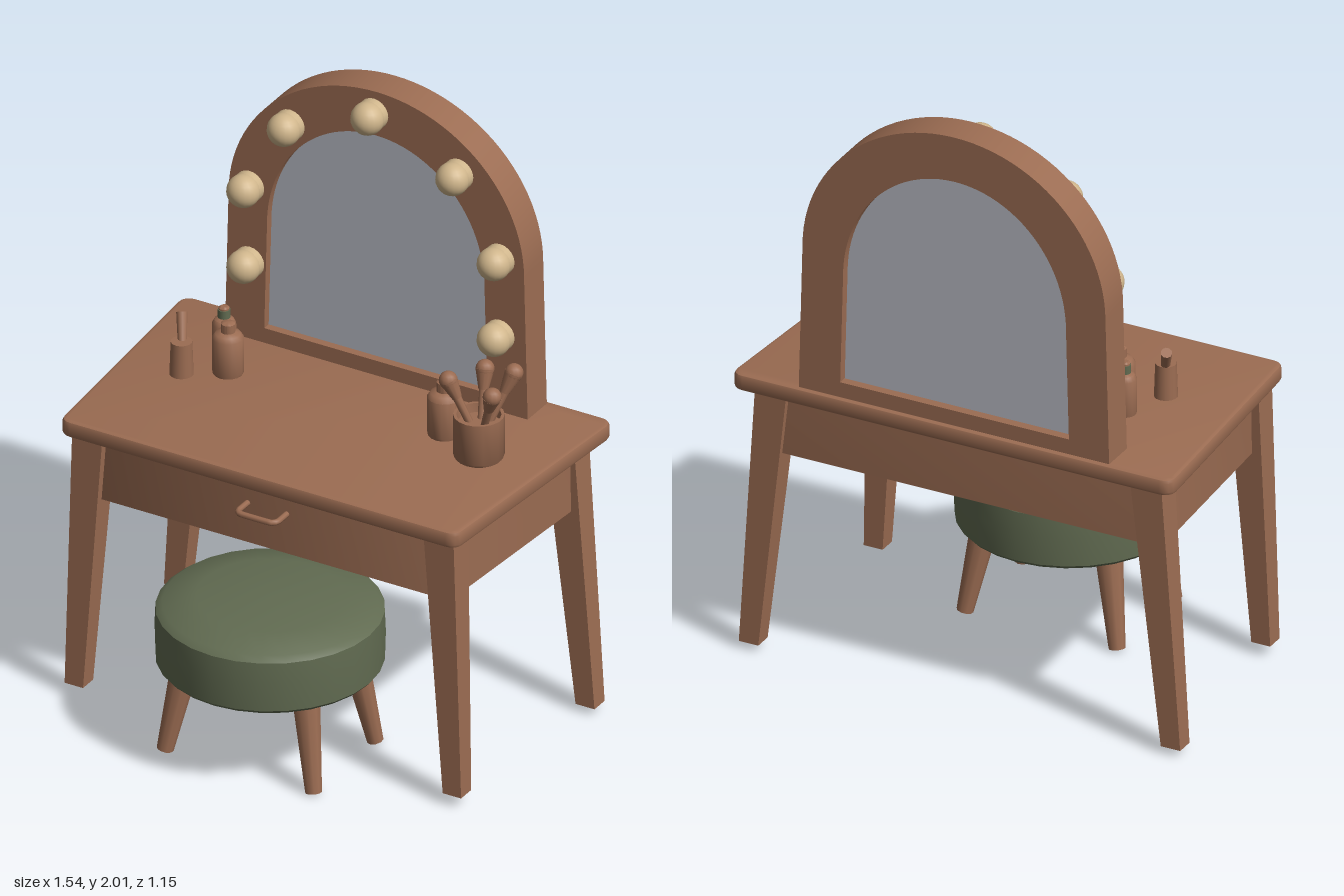
import * as THREE from 'three';
import { toCreasedNormals } from 'three/addons/utils/BufferGeometryUtils.js';

const material = (name, color) => Object.assign(new THREE.MeshStandardMaterial({ color }), { name });

export function createModel() {
  const wood = material('wood', 0x9b6c52);
  const cushion = material('cushion green', 0x616b51);
  const glass = material('mirror glass', 0xb9bcc5);
  const bulbCream = material('bulb cream', 0xd0b68c);
  const root = new THREE.Group();
  root.name = 'vanityTable';

  const add = (name, geometry, mat, x = 0, y = 0, z = 0, parent = root) => {
    const mesh = new THREE.Mesh(geometry, mat);
    mesh.name = name;
    mesh.position.set(x, y, z);
    parent.add(mesh);
    return mesh;
  };
  const lathe = (profile, sides) => toCreasedNormals(
    new THREE.LatheGeometry(profile.map(([r, y]) => new THREE.Vector2(r, y)), sides), 0.7);

  // Round bar between two points, with its own radius at each end
  const bar = (name, from, to, rFrom, rTo, mat, sides = 10, parent = root) => {
    const a = new THREE.Vector3(...from), b = new THREE.Vector3(...to);
    const dir = b.clone().sub(a);
    const mesh = add(name, new THREE.CylinderGeometry(rTo, rFrom, dir.length(), sides), mat, 0, 0, 0, parent);
    mesh.position.copy(a).lerp(b, 0.5);
    mesh.quaternion.setFromUnitVectors(new THREE.Vector3(0, 1, 0), dir.normalize());
    return mesh;
  };

  // Box whose top and bottom have their own centre [x, y, z] and size [w, d]
  const taperedBox = (top, topSize, bottom, bottomSize) => {
    const g = new THREE.BoxGeometry(1, 1, 1).toNonIndexed();
    const p = g.attributes.position;
    for (let i = 0; i < p.count; i++) {
      const [c, s] = p.getY(i) > 0 ? [top, topSize] : [bottom, bottomSize];
      p.setXYZ(i, c[0] + p.getX(i) * s[0], c[1], c[2] + p.getZ(i) * s[1]);
    }
    g.computeVertexNormals();
    return g;
  };

  // Flat slab, wider at the back, with rounded corners (z given as front, back)
  const slab = (frontX, backX, frontZ, backZ, y0, y1, r, bevel) => {
    const f = frontX - bevel, b = backX - bevel, s0 = -frontZ + bevel, s1 = -backZ - bevel;
    const s = new THREE.Shape();
    s.moveTo(-f + r, s0);
    s.lineTo(f - r, s0);
    s.quadraticCurveTo(f, s0, f, s0 + r);
    s.lineTo(b, s1 - r);
    s.quadraticCurveTo(b, s1, b - r, s1);
    s.lineTo(-b + r, s1);
    s.quadraticCurveTo(-b, s1, -b, s1 - r);
    s.lineTo(-f, s0 + r);
    s.quadraticCurveTo(-f, s0, -f + r, s0);
    const g = new THREE.ExtrudeGeometry(s, {
      depth: y1 - y0 - 2 * bevel, bevelEnabled: bevel > 0, bevelSize: bevel,
      bevelThickness: bevel, bevelSegments: 2, curveSegments: 4,
    });
    g.rotateX(-Math.PI / 2).translate(0, y0 + bevel, 0);
    return toCreasedNormals(g, 0.6);
  };

  // Table: top, solid drawer box, drawer handle and splayed legs
  add('tableTop', slab(0.715, 0.77, 0.295, -0.572, 0.933, 0.99, 0.03, 0.012), wood);
  add('drawerBox', slab(0.655, 0.7, 0.235, -0.5, 0.71, 0.94, 0.004, 0), wood);
  const handlePath = new THREE.CatmullRomCurve3([
    [-0.07, 0.23], [-0.07, 0.29], [-0.055, 0.307], [0.055, 0.307], [0.07, 0.29], [0.07, 0.23],
  ].map(([x, z]) => new THREE.Vector3(x, 0.85, z)), false, 'catmullrom', 0.2);
  add('drawerHandle', new THREE.TubeGeometry(handlePath, 24, 0.01, 8), wood);
  for (const s of [-1, 1]) {
    add('frontLeg', taperedBox([s * 0.63, 0.94, 0.216], [0.108, 0.09],
      [s * 0.678, 0.035, 0.23], [0.066, 0.062]), wood);
    add('backLeg', taperedBox([s * 0.655, 0.94, -0.475], [0.11, 0.09],
      [s * 0.738, 0.02, -0.48], [0.068, 0.062]), wood);
  }

  // Arched mirror frame and its glass
  const arch = (PathType, bottomX, sideX, y0, springY, topY, cx) => {
    const p = new PathType();
    p.moveTo(cx - bottomX, y0);
    p.lineTo(cx + bottomX, y0);
    p.lineTo(cx + sideX, springY);
    p.absellipse(cx, springY, sideX, topY - springY, 0, Math.PI, false, 0);
    p.lineTo(cx - bottomX, y0);
    return p;
  };
  const frameShape = arch(THREE.Shape, 0.543, 0.53, 0.985, 1.49, 2, -0.004);
  frameShape.holes.push(arch(THREE.Path, 0.4, 0.39, 1.042, 1.42, 1.845, -0.006));
  const frame = new THREE.ExtrudeGeometry(frameShape, { depth: 0.117, bevelEnabled: false, curveSegments: 24 });
  add('mirrorFrame', toCreasedNormals(frame, 0.6), wood, 0, 0, -0.555);
  const pane = new THREE.ExtrudeGeometry(arch(THREE.Shape, 0.405, 0.395, 1.035, 1.42, 1.85, -0.006),
    { depth: 0.06, bevelEnabled: false, curveSegments: 24 });
  add('mirrorGlass', pane, glass, 0, 0, -0.525);

  // Seven round bulbs, each on a short socket
  const bulbs = [[-0.458, 1.265], [-0.458, 1.535], [-0.313, 1.795], [-0.013, 1.922],
    [0.292, 1.795], [0.44, 1.535], [0.44, 1.265]];
  for (const [x, y] of bulbs) {
    add('bulb', new THREE.SphereGeometry(0.054, 20, 14), bulbCream, x, y, -0.4);
    add('bulbSocket', new THREE.CylinderGeometry(0.052, 0.052, 0.03, 20).rotateX(Math.PI / 2),
      bulbCream, x, y, -0.427);
  }

  // Stool: round cushion on four splayed legs
  const stool = new THREE.Group();
  stool.name = 'stool';
  stool.position.z = 0.216;
  root.add(stool);
  add('stoolCushion', lathe([[0, 0.308], [0.345, 0.308], [0.356, 0.32], [0.359, 0.42], [0.356, 0.49],
    [0.335, 0.507], [0.23, 0.53], [0, 0.533]], 28), cushion, 0, 0, 0, stool);
  for (const sx of [-1, 1]) for (const sz of [-1, 1]) {
    bar('stoolLeg', [sx * 0.266, 0, sz * 0.188], [sx * 0.213, 0.32, sz * 0.146], 0.027, 0.046, wood, 10, stool);
  }

  // Bottles with a shoulder and neck
  const bottle = (x, z, r, shoulder, top) => add('bottle', lathe([[0, 0], [r * 0.95, 0], [r, 0.008],
    [r, shoulder - 0.015], [r * 0.8, shoulder], [r * 0.45, shoulder + 0.006], [r * 0.45, top - 0.005],
    [r * 0.3, top], [0, top]], 16), wood, x, 1.012, z);
  bottle(-0.39, -0.19, 0.05, 0.14, 0.18);
  bottle(0.38, -0.2, 0.054, 0.148, 0.19);
  bottle(-0.45, -0.268, 0.038, 0.135, 0.18);
  add('bottleCollar', new THREE.CylinderGeometry(0.02, 0.02, 0.028, 14), cushion, -0.45, 1.168, -0.268);

  // Small pot with a leaning applicator
  add('smallPot', new THREE.CylinderGeometry(0.034, 0.038, 0.115, 14), wood, -0.51, 1.07, -0.11);
  bar('applicator', [-0.51, 1.11, -0.115], [-0.541, 1.195, -0.165], 0.014, 0.018, wood);

  // Cup with four brushes
  add('brushCup', lathe([[0, 0], [0.074, 0], [0.08, 0.01], [0.08, 0.15], [0.07, 0.15], [0.066, 0.12], [0, 0.12]], 18),
    wood, 0.545, 1.014, -0.13);
  for (const [x, y, z] of [[0.625, 1.275, -0.075], [0.45, 1.27, -0.105], [0.52, 1.28, -0.21], [0.615, 1.285, -0.225]]) {
    const base = new THREE.Vector3(0.545, 1.06, -0.135);
    const tip = new THREE.Vector3(x, y, z);
    const neck = base.clone().lerp(tip, 0.72);
    bar('brushHandle', base.toArray(), neck.toArray(), 0.011, 0.014, wood, 8);
    bar('brushHead', neck.toArray(), tip.toArray(), 0.016, 0.03, wood, 12);
    add('brushTip', new THREE.SphereGeometry(0.03, 12, 8), wood, x, y, z);
  }
  return root;
}
